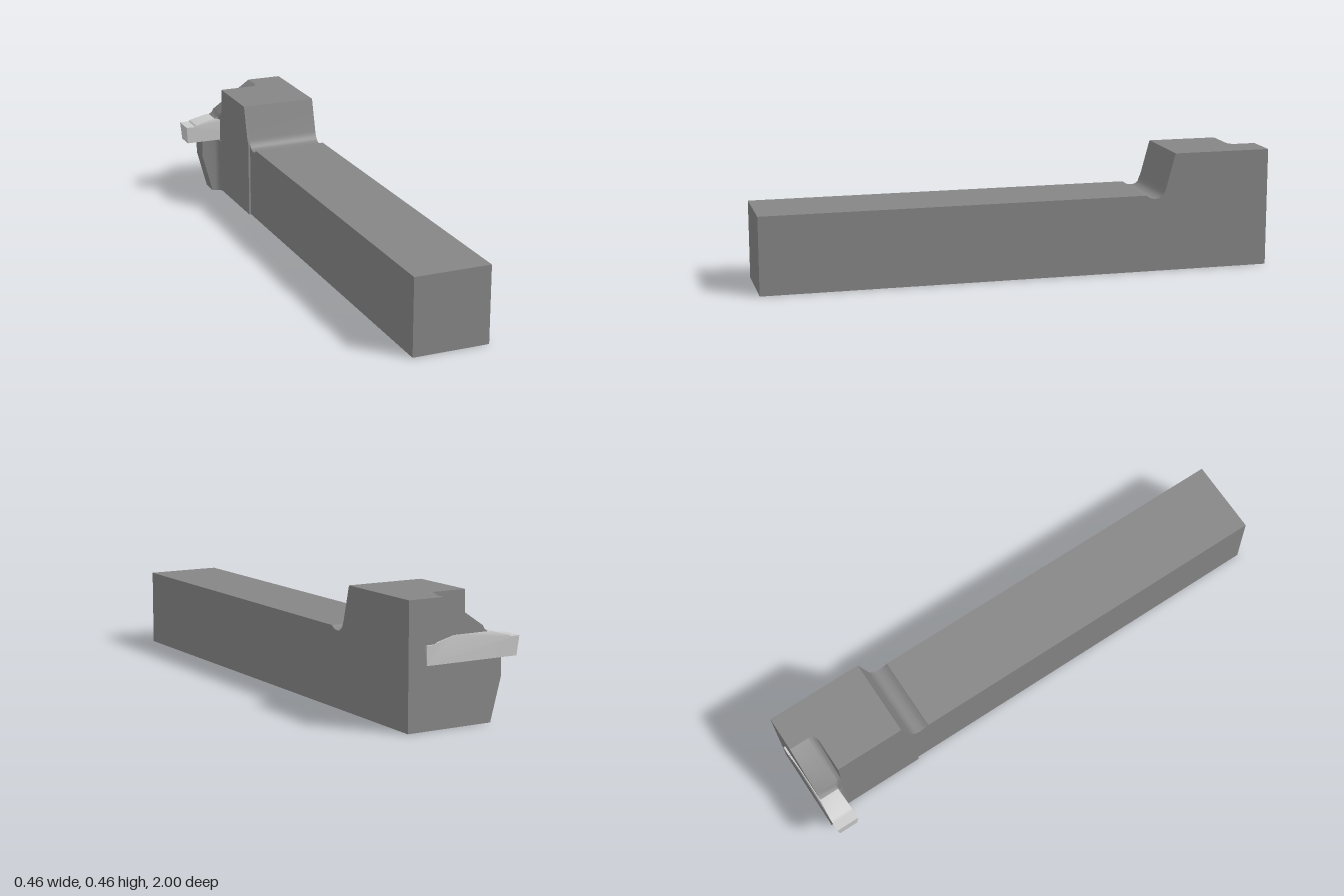
import * as THREE from 'three';
import { toCreasedNormals } from 'three/addons/utils/BufferGeometryUtils.js';

const steel = new THREE.MeshStandardMaterial({ color: 0x858585 });
const carbide = new THREE.MeshStandardMaterial({ color: 0xcccccc });

const SIDE = -0.078;   // side face of the head
const WALL = -0.885;   // wall behind the clamp arm
const BACK = -0.992;   // end face of the head
const R = 0.03;        // fillet radius

function part(name, geometry, material) {
  const mesh = new THREE.Mesh(toCreasedNormals(geometry, 0.5), material);
  mesh.name = name;
  return mesh;
}

// Side profile (distance towards the back, height) extruded across the width
function extrudeAcross(shape, x0, x1) {
  const g = new THREE.ExtrudeGeometry(shape, { depth: x1 - x0, bevelEnabled: false, curveSegments: 8 });
  return g.rotateY(Math.PI / 2).translate(x0, 0, 0);
}

// Section of the clamp end: floor raises the sloped cut, left limits the blade
function clampSection(z, floor, left) {
  return [
    [-0.116, 0], [0.228, 0], [0.228, 0.46], [0.087 - floor, 0.46],
    [-0.078, 0.348 + floor * 0.7], [-0.086, 0.334], [-0.1, 0.325],
    [-0.078, 0.325], [-0.078, 0.228], [-0.159, 0.228], [-0.159, 0.16],
  ].map(([x, y]) => new THREE.Vector3(Math.max(x, left), y, z));
}

// Skin between sections running towards the back, closed at the last one
function loft(rings) {
  const out = [];
  const tri = (...points) => points.forEach((p) => out.push(p.x, p.y, p.z));
  for (let i = 0; i + 1 < rings.length; i++) {
    const a = rings[i], b = rings[i + 1], n = a.length;
    for (let j = 0; j < n; j++) {
      const k = (j + 1) % n;
      tri(a[j], b[j], a[k]);
      tri(a[k], b[j], b[k]);
    }
  }
  const end = rings[rings.length - 1];
  const flat = end.map((p) => new THREE.Vector2(p.x, p.y));
  for (const [a, b, c] of THREE.ShapeUtils.triangulateShape(flat, [])) tri(end[a], end[c], end[b]);
  const g = new THREE.BufferGeometry();
  g.setAttribute('position', new THREE.Float32BufferAttribute(out, 3));
  g.computeVertexNormals();
  return g;
}

export function createModel() {
  const model = new THREE.Group();
  model.name = 'grooveToolHolder';

  // Shank and front of the head, with the undercut groove between them
  const body = new THREE.Shape();
  body.moveTo(-1, 0);
  body.lineTo(-WALL, 0);
  body.lineTo(-WALL, 0.46);
  body.lineTo(0.61, 0.46);
  body.lineTo(0.575, 0.33);
  body.bezierCurveTo(0.565, 0.292, 0.545, 0.286, 0.53, 0.286);
  body.quadraticCurveTo(0.512, 0.286, 0.495, 0.3);
  body.lineTo(-1, 0.3);
  model.add(part('shankAndHead', extrudeAcross(body, -0.07, 0.228), steel));

  // Slightly wider cheek on the head
  const cheek = new THREE.Shape([
    [0.565, 0], [-WALL, 0], [-WALL, 0.46], [0.61, 0.46], [0.575, 0.33], [0.565, 0.305],
  ].map(([a, b]) => new THREE.Vector2(a, b)));
  model.add(part('headCheek', extrudeAcross(cheek, SIDE, -0.07), steel));

  // Clamp arm with its filleted sloped cut and the blade under the insert
  const rings = [];
  for (let i = 0; i <= 8; i++) {
    const u = 1 - Math.cos((i / 8) * Math.PI / 2);
    const floor = R * (1 - Math.sqrt(Math.max(0, 1 - (1 - u) ** 2)));
    const left = SIDE - 0.024 * (1 - Math.sqrt(Math.max(0, 1 - u * u)));
    rings.push(clampSection(WALL - R * u, floor, left));
  }
  rings.push(clampSection(WALL - R, 0, -1), clampSection(BACK, 0, -1));
  model.add(part('clampAndBlade', loft(rings), steel));

  // Double-ended cutting insert: mirrored outline, narrower away from the edges
  const half = [[0.189, 0.228], [0.195, 0.3], [0.157, 0.3], [0.151, 0.306], [0.078, 0.325]];
  const outline = [...half, ...half.map(([x, y]) => [-x, y]).reverse()];
  const insert = new THREE.ExtrudeGeometry(
    new THREE.Shape(outline.map(([x, y]) => new THREE.Vector2(x, y))),
    { depth: 2, bevelEnabled: false });
  const pos = insert.attributes.position;
  for (let i = 0; i < pos.count; i++) {
    const x = pos.getX(i), y = pos.getY(i);
    const atEdge = Math.abs(x) > 0.15;
    const width = !atEdge ? 0.04 : y > 0.25 ? 0.045 : 0.038;
    pos.setXYZ(i, x - 0.035, y, -0.955 + (pos.getZ(i) - 1) * width);
  }
  insert.computeVertexNormals();
  model.add(part('cuttingInsert', insert, carbide));

  return model;
}
